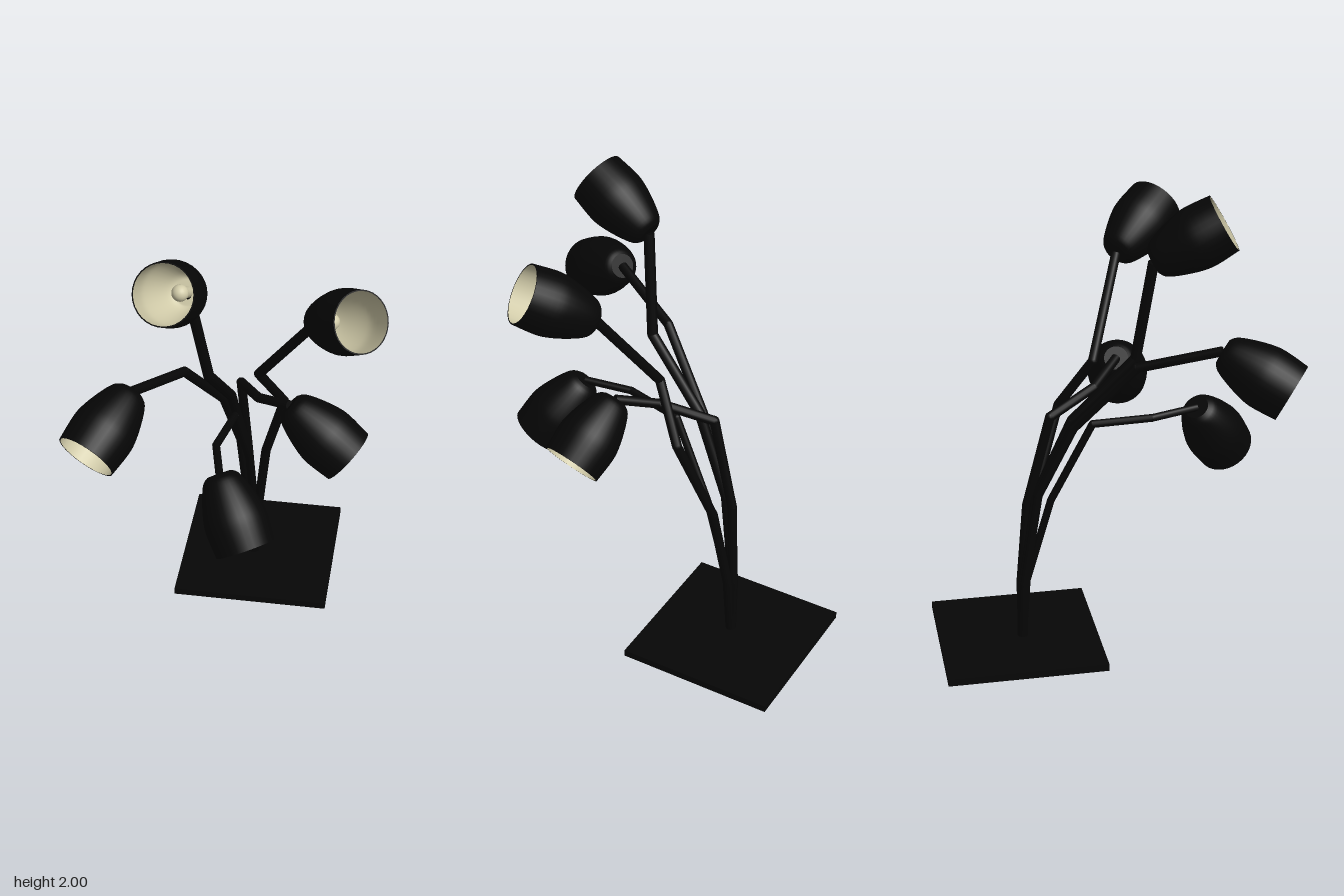
import * as THREE from 'three';

const black = new THREE.MeshStandardMaterial({ color: 0x060606 });
const cream = new THREE.MeshStandardMaterial({ color: 0xd2ccaa });
const UP = new THREE.Vector3(0, 1, 0);
const LENGTH = 0.31;

function add(parent, name, geometry, material) {
  const mesh = new THREE.Mesh(geometry, material);
  mesh.name = name;
  parent.add(mesh);
  return mesh;
}

// Bent stem: straight rods with round joints at the kinks
function makeStem(points, radius) {
  const stem = new THREE.Group();
  stem.name = 'stem';
  const pts = points.map((p) => new THREE.Vector3(...p));
  for (let i = 0; i < pts.length - 1; i++) {
    const along = pts[i + 1].clone().sub(pts[i]);
    const rod = add(stem, 'stemRod', new THREE.CylinderGeometry(radius, radius, along.length(), 12), black);
    rod.position.copy(pts[i]).addScaledVector(along, 0.5);
    rod.quaternion.setFromUnitVectors(UP, along.normalize());
    if (i > 0) add(stem, 'stemJoint', new THREE.SphereGeometry(radius, 12, 8), black).position.copy(pts[i]);
  }
  return stem;
}

// Bell profile from the neck (y = 0) to the mouth (y = LENGTH)
const bell = new THREE.SplineCurve([
  [0.05, 0], [0.074, 0.02], [0.098, 0.075], [0.12, 0.15], [0.127, 0.21], [0.12, LENGTH],
].map((p) => new THREE.Vector2(...p))).getPoints(20);
const inner = bell.map((p) => new THREE.Vector2(p.x - 0.005, Math.max(p.y, 0.006))).reverse();
inner.push(new THREE.Vector2(0, 0.006));
const shellGeometry = new THREE.LatheGeometry(bell, 32);
const liningGeometry = new THREE.LatheGeometry(inner, 32);
const rimGeometry = new THREE.LatheGeometry(
  [new THREE.Vector2(0.12, LENGTH), new THREE.Vector2(0.115, LENGTH)], 32);

function makeShade(mouth, direction) {
  const shade = new THREE.Group();
  shade.name = 'shade';
  add(shade, 'shadeShell', shellGeometry, black);
  add(shade, 'shadeLining', liningGeometry, cream);
  add(shade, 'shadeRim', rimGeometry, black);
  add(shade, 'shadeCap', new THREE.CircleGeometry(0.05, 32), black).rotation.x = Math.PI / 2;
  // Socket and bulb
  add(shade, 'socket', new THREE.CylinderGeometry(0.022, 0.022, 0.08, 16), cream).position.y = 0.045;
  add(shade, 'bulb', new THREE.SphereGeometry(0.033, 20, 14), cream).position.y = 0.1;
  const axis = new THREE.Vector3(...direction).normalize();
  shade.quaternion.setFromUnitVectors(UP, axis);
  shade.position.set(...mouth).addScaledVector(axis, -LENGTH);
  return shade;
}

// Each lamp: bends of the stem, centre of the shade's mouth, direction it points
const lamps = [
  { name: 'topLamp', radius: 0.022,
    stem: [[0, 0.3, -0.355], [-0.025, 0.7, -0.3], [-0.06, 1.05, -0.15], [-0.11, 1.32, 0.1]],
    mouth: [-0.22, 1.895, 0.42], direction: [-0.14, 0.5, 0.86] },
  { name: 'upperLeftLamp', radius: 0.02,
    stem: [[0.03, 0.3, -0.345], [0.07, 0.67, -0.29], [0.16, 1.03, -0.17], [0.07, 1.25, -0.04]],
    mouth: [0.495, 1.77, 0.305], direction: [0.58, 0.48, 0.65] },
  { name: 'rightLamp', radius: 0.02,
    stem: [[-0.01, 0.3, -0.35], [-0.04, 0.72, -0.29], [-0.09, 1.03, -0.15], [-0.21, 1.32, 0.085]],
    mouth: [-0.49, 1.285, 0.635], direction: [-0.42, -0.45, 0.78] },
  { name: 'lowerLeftLamp', radius: 0.02,
    stem: [[0.01, 0.3, -0.36], [-0.015, 0.67, -0.333], [-0.03, 1.06, -0.235], [0.07, 1.135, -0.035]],
    mouth: [0.455, 1.015, 0.14], direction: [0.78, -0.59, 0.18] },
  { name: 'lowerFrontLamp', radius: 0.016,
    stem: [[0.015, 0.3, -0.335], [0.005, 0.67, -0.23], [-0.03, 1.015, -0.06], [-0.07, 1.04, 0.18]],
    mouth: [0.1, 0.815, 0.53], direction: [0.13, -0.245, 0.16] },
];

export function createModel() {
  const model = new THREE.Group();
  model.name = 'floorLamp';

  // Square foot plate
  add(model, 'base', new THREE.BoxGeometry(0.67, 0.03, 0.67), black).position.set(0.035, 0.027, -0.375);

  for (const { name, radius, stem, mouth, direction } of lamps) {
    const lamp = new THREE.Group();
    lamp.name = name;
    const shade = makeShade(mouth, direction);
    const neck = shade.position.toArray();
    lamp.add(makeStem([[0.012, 0, -0.358], ...stem, neck], radius), shade);
    model.add(lamp);
  }
  return model;
}
